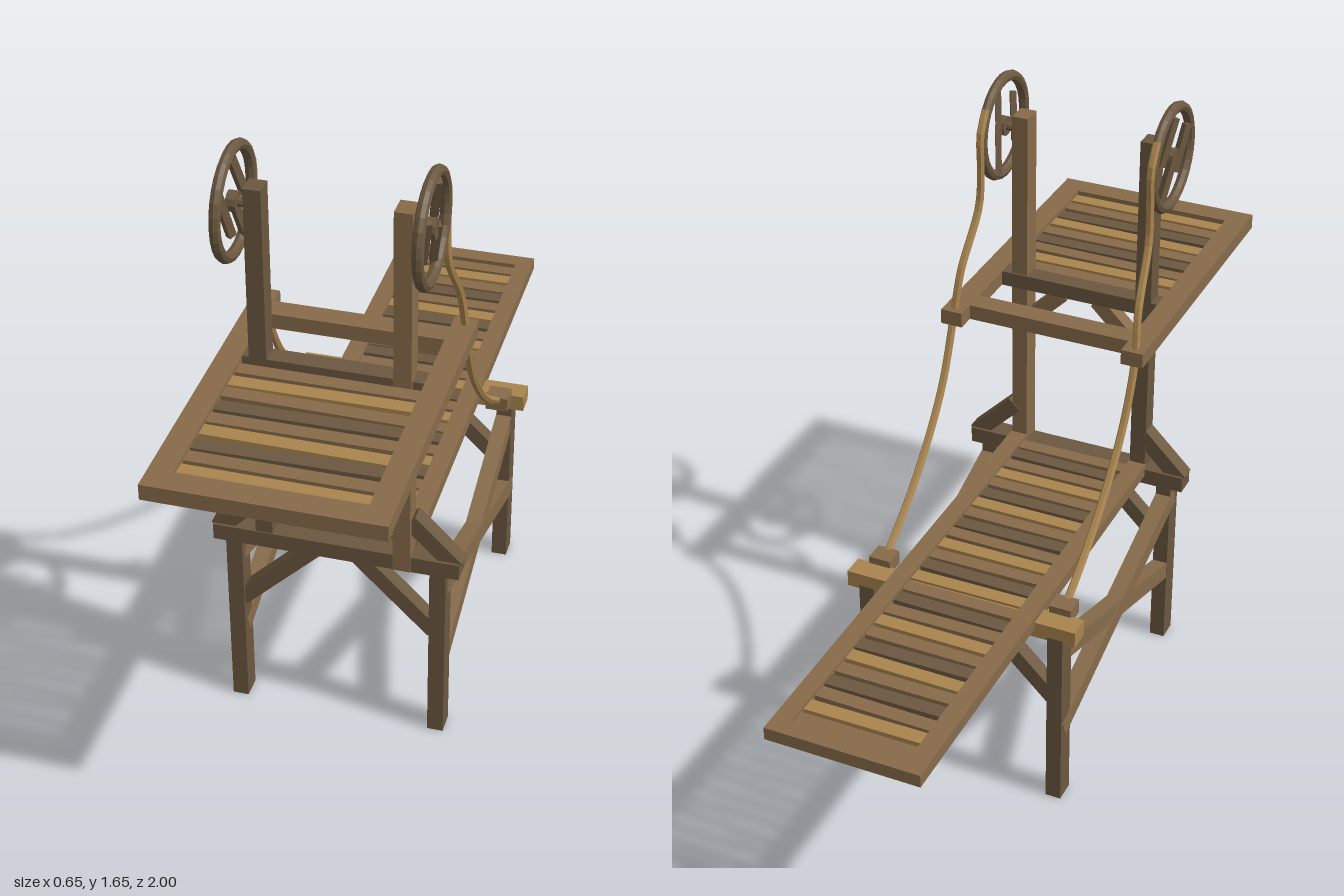
import * as THREE from 'three';

const wood = c => new THREE.MeshStandardMaterial({ color: c, flatShading: true });
const dark = wood(0x6b5840), mid = wood(0x876b4a), light = wood(0xa9854f);

export function createModel() {
  const root = new THREE.Group();

  const add = (name, geo, mat, parent = root) => {
    const m = new THREE.Mesh(geo, mat);
    m.name = name;
    parent.add(m);
    return m;
  };
  // box given by its low and high limits on each axis
  const box = (name, mat, [x0, x1], [y0, y1], [z0, z1], parent = root) => {
    const m = add(name, new THREE.BoxGeometry(x1 - x0, y1 - y0, z1 - z0), mat, parent);
    m.position.set((x0 + x1) / 2, (y0 + y1) / 2, (z0 + z1) / 2);
    return m;
  };
  // square beam between two points
  const beam = (name, mat, a, b, w, d, parent = root) => {
    const p = new THREE.Vector3(...a), q = new THREE.Vector3(...b);
    const m = add(name, new THREE.BoxGeometry(w, d, p.distanceTo(q)), mat, parent);
    m.position.copy(p).lerp(q, 0.5);
    m.lookAt(q);
    return m;
  };
  // row of uneven slats lying across a platform
  const slats = (name, x0, x1, y, z0, z1) => {
    const g = new THREE.Group();
    g.name = name;
    const n = Math.round((z1 - z0) / 0.052), pitch = (z1 - z0) / n;
    for (let i = 0; i < n; i++) {
      const z = z0 + pitch * (i + 0.5);
      const mat = [mid, light, mid, dark, mid, light, dark][i % 7];
      const s = box('slat', mat, [x0, x1], [y - 0.01, y + 0.01], [z - 0.02, z + 0.02], g);
      s.rotation.y = 0.012 * Math.sin(i * 2.3);
    }
    root.add(g);
  };

  // lower platform
  box('lowerRailRight', mid, [-0.21, -0.16], [0.54, 0.575], [-1, 0.41]);
  box('lowerRailLeft', mid, [0.152, 0.2], [0.54, 0.575], [-1, 0.41]);
  box('lowerEndRail', mid, [-0.16, 0.152], [0.54, 0.575], [-1, -0.95]);
  slats('lowerSlats', -0.165, 0.157, 0.557, -0.95, 0.4);

  // upper platform
  for (const s of [-1, 1]) {
    const x = [s * 0.255 - 0.03, s * 0.255 + 0.03];
    box('upperRail', mid, x, [1.044, 1.085], [0.15, 1]);
  }
  box('upperFrontRail', mid, [-0.225, 0.225], [1.044, 1.085], [0.935, 1]);
  box('upperBackRail', mid, [-0.225, 0.225], [1.044, 1.085], [0.2, 0.26]);
  box('upperCrossbeam', dark, [-0.225, 0.225], [1.044, 1.085], [0.405, 0.455]);
  slats('upperSlats', -0.23, 0.23, 1.065, 0.465, 0.935);

  // cross beams that carry the lower platform
  box('frontBeam', dark, [-0.32, 0.32], [0.515, 0.56], [0.4, 0.46]);
  box('backBeam', light, [-0.32, 0.32], [0.515, 0.56], [-0.355, -0.295]);

  // tall posts
  box('postRight', dark, [-0.207, -0.163], [0.53, 1.545], [0.405, 0.457]);
  box('postLeft', mid, [0.153, 0.197], [0.52, 1.545], [0.41, 0.468]);

  for (const s of [-1, 1]) {
    // legs and their diagonal struts
    for (const z of [0.43, -0.327]) {
      box('leg', dark, [s * 0.266 - 0.021, s * 0.266 + 0.021], [0, 0.525], [z - 0.029, z + 0.029]);
      beam('legStrut', dark, [s * 0.255, 0.325, z], [s * 0.05, 0.53, z], 0.042, 0.042);
    }
    // struts at the foot of each post and under the upper platform
    beam('postStrut', dark, [s * 0.31, 0.545, 0.43], [s * 0.19, 0.665, 0.43], 0.045, 0.045);
    beam('upperStrut', mid, [s * 0.175, 0.925, 0.43], [s * 0.05, 1.05, 0.43], 0.042, 0.042);

    // crossed braces on each side
    beam('sideBrace', mid, [s * 0.267, 0.475, 0.435], [s * 0.267, 0.225, -0.34], 0.044, 0.05);
    beam('sideBrace', mid, [s * 0.265, 0.225, 0.435], [s * 0.265, 0.475, -0.34], 0.042, 0.05);

    // wheel with three spokes, hub and axle
    const wheel = new THREE.Group();
    wheel.name = 'wheel';
    wheel.position.set(s * 0.235, 1.5, 0.44);
    add('rim', new THREE.TorusGeometry(0.132, 0.0145, 8, 28), dark, wheel).rotation.y = Math.PI / 2;
    for (let i = 0; i < 3; i++) {
      const a = i * Math.PI * 2 / 3;
      beam('spoke', dark, [0, 0, 0], [0, 0.13 * Math.sin(a), 0.13 * Math.cos(a)], 0.016, 0.02, wheel);
    }
    add('hub', new THREE.CylinderGeometry(0.026, 0.026, 0.024, 10), dark, wheel).rotation.z = Math.PI / 2;
    const axle = add('axle', new THREE.CylinderGeometry(0.012, 0.012, 0.08, 8), dark, wheel);
    axle.rotation.z = Math.PI / 2;
    axle.position.x = -s * 0.03;
    root.add(wheel);

    // rope from the wheel through the upper platform to the lower one
    const path = [
      [0.235, 1.59, 0.33], [0.235, 1.53, 0.297], [0.235, 1.43, 0.298], [0.238, 1.33, 0.29],
      [0.25, 1.18, 0.2], [0.258, 1.05, 0.166], [0.258, 0.9, 0.1], [0.257, 0.79, 0.016],
      [0.256, 0.67, -0.11], [0.255, 0.56, -0.265]
    ].map(([x, y, z]) => new THREE.Vector3(s * x, y, z));
    add('rope', new THREE.TubeGeometry(new THREE.CatmullRomCurve3(path), 40, 0.011, 6), light);
    box('ropeBlock', mid, [s * 0.255 - 0.03, s * 0.255 + 0.03], [0.54, 0.58], [-0.3, -0.245]);
  }
  return root;
}
